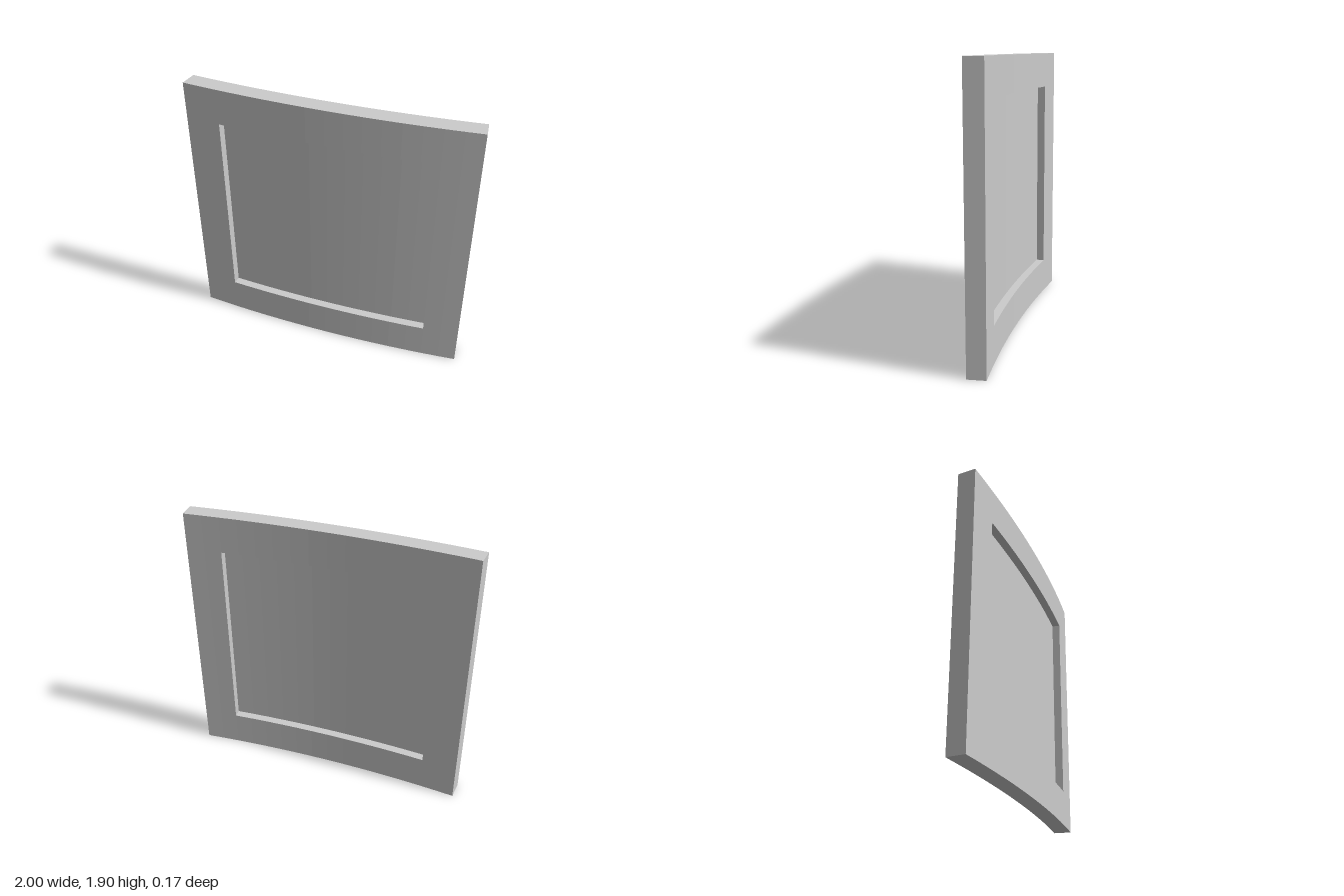
import * as THREE from 'three';

const R = 10;                      // outer radius of the curve
const HALF = Math.asin(1 / R);     // half sweep angle
const FRONT = 0.087;               // z of the foremost point
const HEIGHT = 1.905;
const THICK = 0.125;
const RAIL = 0.253;                // height of top and bottom rails
const SEGMENTS = 16;               // facets across the full width

const material = new THREE.MeshStandardMaterial({ color: 0xcccccc, flatShading: true });

// Box bent around the vertical axis; from/to are facet indices, depth is the setback from the front.
function curvedSlab(name, from, to, y0, y1, depth, thick) {
  const step = (2 * HALF) / SEGMENTS;
  const geo = new THREE.BoxGeometry(to - from, y1 - y0, thick, to - from, 1, 1);
  const pos = geo.attributes.position;
  for (let i = 0; i < pos.count; i++) {
    const angle = (pos.getX(i) + (from + to) / 2) * step - HALF;
    const radius = R - depth - thick / 2 + pos.getZ(i);
    pos.setXYZ(i,
      radius * Math.sin(angle),
      pos.getY(i) + (y0 + y1) / 2,
      radius * Math.cos(angle) - R + FRONT);
  }
  geo.computeVertexNormals();
  const mesh = new THREE.Mesh(geo, material);
  mesh.name = name;
  return mesh;
}

export function createModel() {
  const model = new THREE.Group();
  model.name = 'curvedPanel';
  const top = HEIGHT - RAIL;

  // Frame: full-width rails with stiles between them
  const frame = new THREE.Group();
  frame.name = 'frame';
  frame.add(
    curvedSlab('bottomRail', 0, SEGMENTS, 0, RAIL, 0, THICK),
    curvedSlab('topRail', 0, SEGMENTS, top, HEIGHT, 0, THICK),
    curvedSlab('rightStile', 0, 2, RAIL, top, 0, THICK),
    curvedSlab('leftStile', SEGMENTS - 2, SEGMENTS, RAIL, top, 0, THICK));

  // Thin sheet recessed equally on both faces
  const sheet = 0.01;
  model.add(frame, curvedSlab('recessedPanel', 2, SEGMENTS - 2, RAIL, top, (THICK - sheet) / 2, sheet));
  return model;
}
